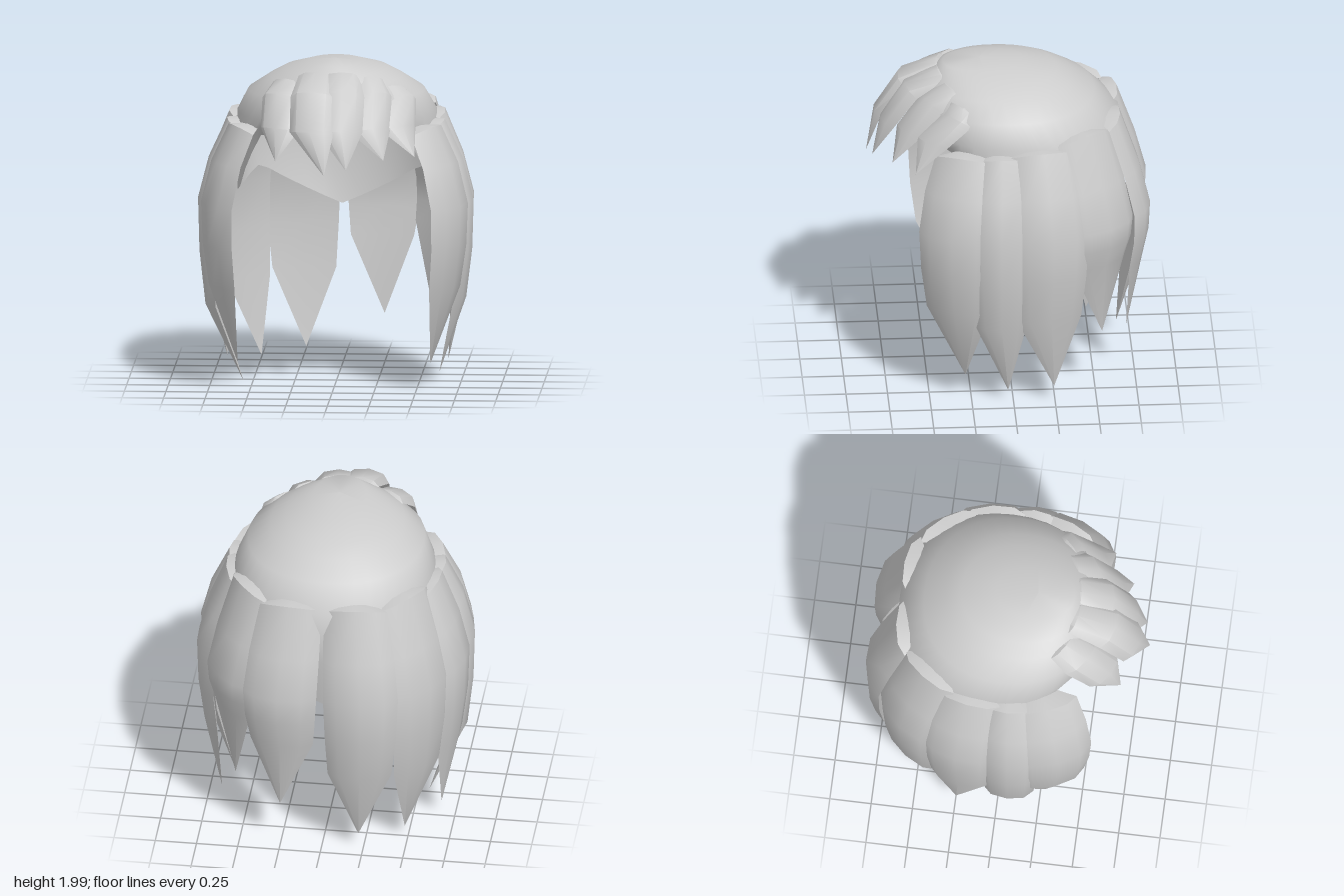
import * as THREE from 'three';
import { toCreasedNormals } from 'three/addons/utils/BufferGeometryUtils.js';

const V = (x, y, z) => new THREE.Vector3(x, y, z);

// Skins a stack of closed rings with equal point counts
function loft(rings, crease) {
  const n = rings[0].length, index = [];
  for (let r = 0; r < rings.length - 1; r++) {
    for (let i = 0; i < n; i++) {
      const a = r * n + i, b = r * n + (i + 1) % n;
      index.push(a, a + n, b, b, a + n, b + n);
    }
  }
  const geo = new THREE.BufferGeometry().setFromPoints(rings.flat());
  geo.setIndex(index);
  return toCreasedNormals(geo, crease);
}

// Lock cross-section: arched outer side from edge to edge, nearly flat inner side
function lockRing(c, half, out, depth) {
  const at = (u, d) => c.clone().addScaledVector(half, u).addScaledVector(out, d * depth);
  return [at(-1, 0), at(-0.65, 0.75), at(0, 1), at(0.65, 0.75), at(1, 0), at(0, 0.2)];
}

const pointRing = (p) => Array.from({ length: 6 }, () => p.clone());

// Long lock: plan edges a and b at its widest height, then root height and tip
function longLock(side, a, b, topY, tip) {
  let A = V(a[0] * side, 0, a[1]), B = V(b[0] * side, 0, b[1]);
  if (side < 0) [A, B] = [B, A];
  const c = A.clone().add(B).multiplyScalar(0.5);
  const half = B.clone().sub(A).multiplyScalar(0.5);
  const out = V(-half.z, 0, half.x).normalize();
  if (out.dot(c) < 0) out.negate();
  const shoulder = tip[1] + 0.47;
  // height, distance scale, width scale, depth, upward lean of the arch
  const rows = [
    [topY, 0.8, 0.84, 0.06, 0.6],
    [1.38, 0.92, 0.95, 0.08, 0],
    [1.13, 1, 1, 0.085, 0],
    [(1.13 + shoulder) / 2, 0.995, 0.95, 0.08, 0],
    [shoulder, 0.96, 0.85, 0.07, 0],
  ];
  const rings = rows.map(([y, s, w, d, lean]) => lockRing(
    c.clone().multiplyScalar(s).setY(y), half.clone().multiplyScalar(w), out.clone().setY(lean), d));
  // the root sinks into the cap
  rings.unshift(pointRing(c.clone().multiplyScalar(0.64).setY(topY + 0.04)));
  rings.push(pointRing(V(...tip)));
  return loft(rings, 0.75);
}

// Fringe lock: fans out of the crown and falls forward to its tip
function fringeLock(root, mid, tip) {
  const turn = mid * 1.7;
  const side = V(Math.cos(turn), 0, -Math.sin(turn));
  const face = V(Math.sin(turn), 0, Math.cos(turn));
  const drop = root[1] - 1.63;
  // centre, half width, upward lean, depth
  const rows = [
    [V(...root), 0.11, 1.2, 0.04],
    [V(mid * 0.98, 1.63 + drop * 0.66, tip[2] - 0.25), 0.14, 0.8, 0.07],
    [V(mid, 1.63, tip[2] - 0.11), 0.135, 0.2, 0.06],
  ];
  const rings = rows.map(([c, w, up, d]) =>
    lockRing(c, side.clone().multiplyScalar(w), face.clone().setY(up).normalize(), d));
  rings.unshift(pointRing(V(root[0] * 0.8, root[1] - 0.02, root[2] - 0.12)));
  rings.push(pointRing(V(...tip)));
  return loft(rings, 0.75);
}

// Lower edge of the cap by angle from the front, in degrees
const hem = [[0, 1.6], [45, 1.55], [75, 1.17], [108, 1.17], [128, 1.26], [180, 0.99]];
function hemHeight(deg) {
  const k = Math.max(1, hem.findIndex(([d]) => d >= deg));
  const [d0, y0] = hem[k - 1], [d1, y1] = hem[k];
  return THREE.MathUtils.lerp(y0, y1, (deg - d0) / (d1 - d0));
}

function capGeometry() {
  // height (or fraction from 1.65 to the hem), half width, half depth, centre z
  const profile = [
    [2, 0.001, 0.001, 0.17], [1.98, 0.16, 0.24, 0.15], [1.93, 0.31, 0.365, 0.07],
    [1.88, 0.4, 0.44, 0.05], [1.79, 0.53, 0.53, 0.01], [1.65, 0.6, 0.61, -0.06],
    [0.5, 0.61, 0.6, -0.08], [1, 0.6, 0.55, -0.07],
  ];
  const n = 40;
  const rings = profile.map(([y, rx, rz, cz], row) => Array.from({ length: n }, (_, i) => {
    const t = (i / n) * Math.PI * 2;
    const round = (v) => Math.sign(v) * Math.abs(v) ** 0.92;
    const bottom = hemHeight(Math.min(i, n - i) * 360 / n);
    // the last two rows follow the hem
    const h = row < 6 ? y : THREE.MathUtils.lerp(1.65, bottom, y);
    return V(rx * round(Math.sin(t)), h, cz + rz * round(Math.cos(t)));
  }));
  return loft(rings, 1.2);
}

export function createModel() {
  const group = new THREE.Group();
  group.name = 'hair';
  const hair = new THREE.MeshStandardMaterial({ color: 0xcccccc, side: THREE.DoubleSide });
  hair.name = 'hairGrey';
  const add = (name, geo) => {
    const mesh = new THREE.Mesh(geo, hair);
    mesh.name = name;
    group.add(mesh);
  };

  add('scalpCap', capGeometry());

  // Edge a, edge b, root height, left tip, right tip
  const locks = [
    ['templeLock', [0.6, 0.565], [0.775, 0.13], 1.57, [0.58, 0.16, 0.285], [-0.58, 0.16, 0.285]],
    ['earLock', [0.745, 0.26], [0.745, -0.1], 1.58, [0.62, 0.07, 0.03], [-0.56, 0.01, 0.03]],
    ['sideLock', [0.77, 0.01], [0.69, -0.45], 1.61, [0.66, 0.11, -0.245], [-0.67, 0.11, -0.245]],
    ['rearSideLock', [0.72, -0.35], [0.44, -0.73], 1.66, [0.54, 0.41, -0.54], [-0.48, 0.08, -0.5]],
    ['backLock', [0.47, -0.74], [0.02, -0.78], 1.66, [0.25, 0.31, -0.7], [-0.22, 0.11, -0.665]],
  ];
  for (const [name, a, b, topY, leftTip, rightTip] of locks) {
    add(name + 'Left', longLock(1, a, b, topY, leftTip));
    add(name + 'Right', longLock(-1, a, b, topY, rightTip));
  }

  // Root, middle x, tip
  const fringe = [
    [[-0.27, 1.87, 0.35], -0.31, [-0.33, 1.45, 0.71]],
    [[-0.1, 1.92, 0.4], -0.11, [-0.03, 1.385, 0.85]],
    [[0.05, 1.92, 0.4], 0.06, [0.1, 1.415, 0.82]],
    [[0.2, 1.89, 0.36], 0.23, [0.32, 1.46, 0.71]],
    [[0.34, 1.83, 0.32], 0.39, [0.5, 1.465, 0.58]],
  ];
  fringe.forEach((f, i) => add('fringeLock' + (i + 1), fringeLock(...f)));
  return group;
}
